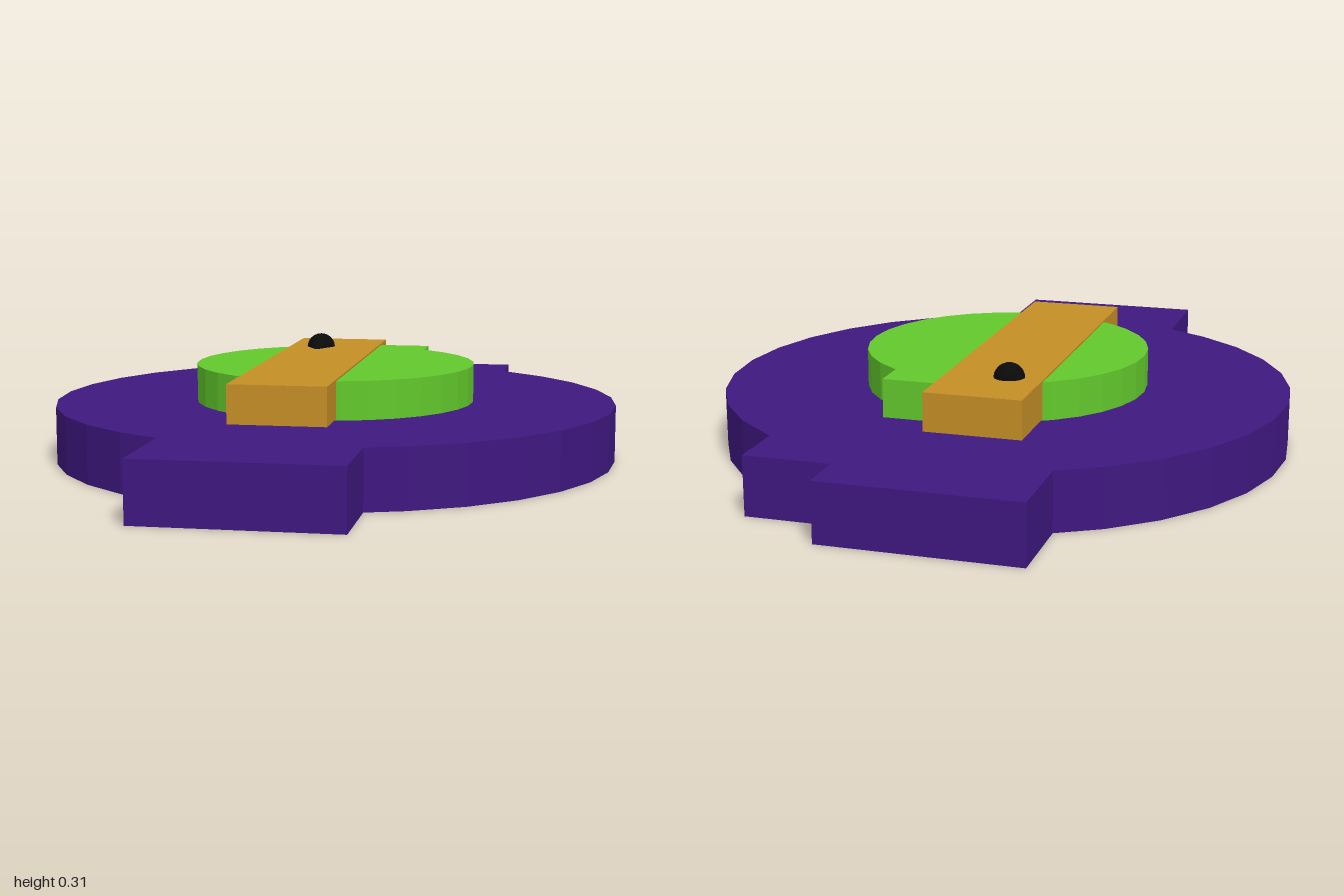
import * as THREE from 'three';

const CY = 0.025; // discs sit slightly towards the back
const STEP = Math.PI / 16; // 32-sided discs

// Points of a 32-sided disc from angle a to angle b, counter-clockwise
function arc(r, a, b) {
  const at = (t) => new THREE.Vector2(r * Math.cos(t), CY + r * Math.sin(t));
  const pts = [at(a)];
  for (let k = Math.floor(a / STEP) + 1; k * STEP < b - 0.01; k++) pts.push(at(k * STEP));
  pts.push(at(b));
  return pts;
}

const corners = (...list) => list.map(([x, y]) => new THREE.Vector2(x, y));

// Flat plate: outline drawn with its y towards the back, extruded upwards
function plate(name, outline, y0, y1, color) {
  const geo = new THREE.ExtrudeGeometry(new THREE.Shape(outline), { depth: y1 - y0, bevelEnabled: false });
  geo.rotateX(-Math.PI / 2);
  geo.translate(0, y0, 0);
  const mesh = new THREE.Mesh(geo, new THREE.MeshStandardMaterial({ color, flatShading: true }));
  mesh.name = name;
  return mesh;
}

export function createModel() {
  const model = new THREE.Group();
  model.name = 'dial';

  // Base disc with front tab and stepped back tab
  const R = 0.81;
  const leftTab = Math.acos(-0.335 / R);
  model.add(plate('base', [
    ...arc(R, -Math.acos(0.205 / R), Math.acos(0.445 / R)),
    ...corners([0.445, 0.87], [0.205, 0.87], [0.205, 1], [-0.335, 1]),
    ...arc(R, leftTab, 2 * Math.PI - leftTab),
    ...corners([-0.335, -1], [0.205, -1]),
  ], 0, 0.163, 0x3f1880));

  // Smaller raised disc with one back tab
  const r = 0.403;
  model.add(plate('innerDisc', [
    ...arc(r, Math.acos(-0.05 / r), 2 * Math.PI + Math.acos(0.22 / r)),
    ...corners([0.22, 0.465], [-0.05, 0.465]),
  ], 0.163, 0.27, 0x62c82c));

  // Bar across the disc
  model.add(plate('bar', corners([-0.2, -0.51], [0.07, -0.51], [0.07, 0.57], [-0.2, 0.57]),
    0.168, 0.275, 0xc58f26));

  // Teardrop pointer: round at the back, pointed at the front
  const profile = [];
  for (let i = 0; i <= 10; i++) {
    const t = -Math.PI / 2 + (i / 10) * (Math.PI / 2 + 0.45);
    profile.push(new THREE.Vector2(Math.max(0, 0.043 * Math.cos(t)), 0.043 * Math.sin(t)));
  }
  profile.push(new THREE.Vector2(0, 0.09));
  const pointer = new THREE.Mesh(
    new THREE.LatheGeometry(profile, 24),
    new THREE.MeshStandardMaterial({ color: 0x0a0a0a }),
  );
  pointer.name = 'pointer';
  pointer.rotation.x = Math.PI / 2;
  pointer.position.set(-0.105, 0.272, -0.365);
  model.add(pointer);

  return model;
}
